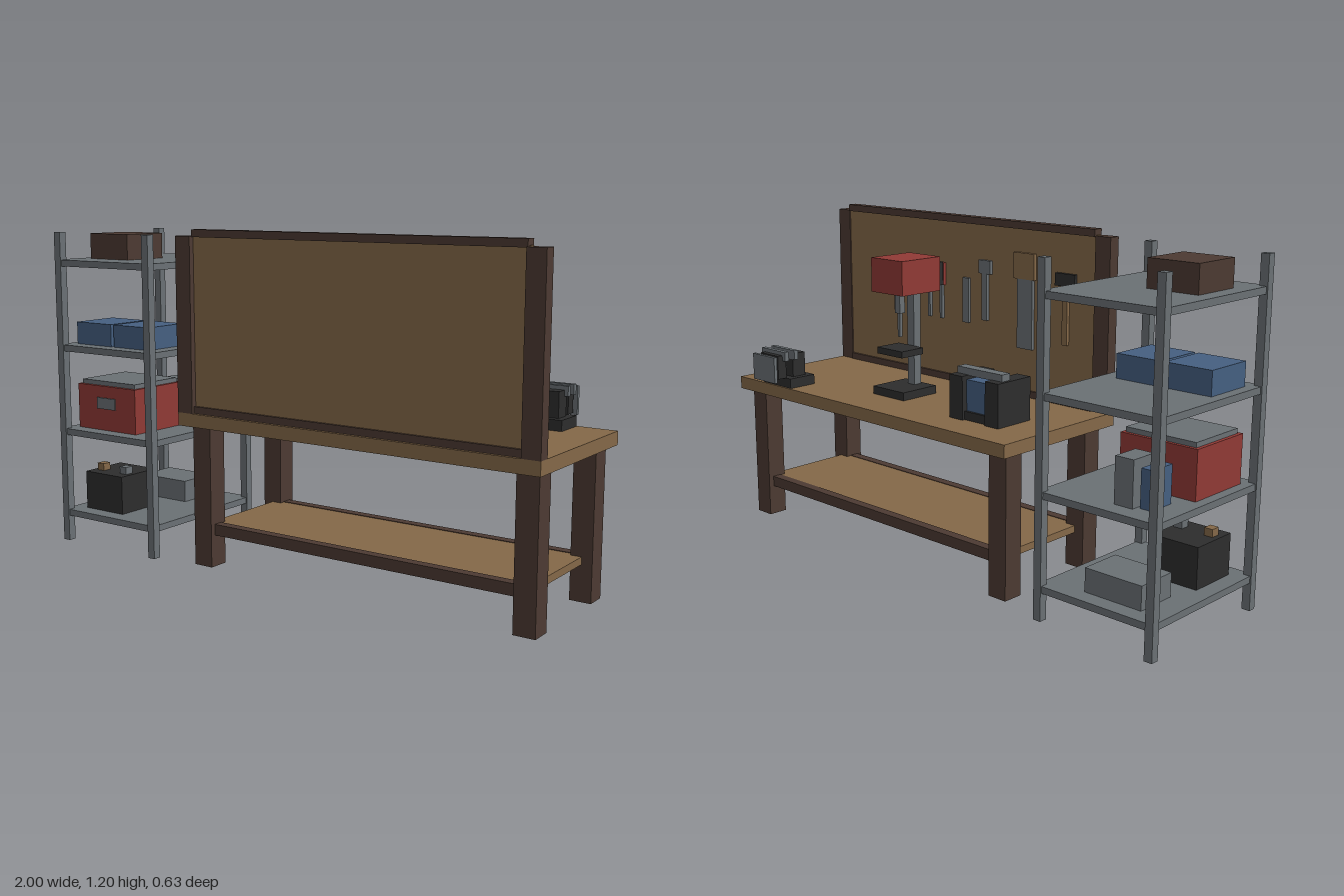
import * as THREE from 'three';

const mat = (name, color) => Object.assign(new THREE.MeshStandardMaterial({ color }), { name });

export function createModel() {
  const wood = mat('tan wood', 0x846848);
  const brown = mat('dark brown wood', 0x4c3a32);
  const steel = mat('grey steel', 0x6a7074);
  const red = mat('red paint', 0x903a35);
  const blue = mat('blue paint', 0x455f80);
  const black = mat('black iron', 0x2d2d2d);

  const model = new THREE.Group();
  const group = (name) => {
    const g = new THREE.Group();
    g.name = name;
    model.add(g);
    return g;
  };
  // Box given by its limits along x, y and z
  const box = (parent, name, material, x0, x1, y0, y1, z0, z1) => {
    const mesh = new THREE.Mesh(new THREE.BoxGeometry(x1 - x0, y1 - y0, z1 - z0), material);
    mesh.position.set((x0 + x1) / 2, (y0 + y1) / 2, (z0 + z1) / 2);
    mesh.name = name;
    parent.add(mesh);
  };

  // Workbench: top, legs, rails and low shelf
  const bench = group('workbench');
  box(bench, 'benchTop', wood, -0.4, 1, 0.513, 0.56, -0.256, 0.315);
  for (const x of [-0.369, 0.901])
    for (const z of [-0.212, 0.196])
      box(bench, 'benchLeg', brown, x, x + 0.077, 0, 0.513, z, z + 0.076);
  for (const z of [-0.173, 0.234])
    box(bench, 'benchRail', brown, -0.3, 0.91, 0.115, 0.155, z - 0.018, z + 0.018);
  box(bench, 'lowShelf', wood, -0.33, 0.94, 0.127, 0.153, -0.156, 0.217);

  // Tool board with its frame
  const board = group('toolBoard');
  box(board, 'boardPanel', wood, -0.34, 0.94, 0.56, 1.18, 0.275, 0.295);
  box(board, 'boardTopRail', brown, -0.335, 0.935, 1.174, 1.2, 0.266, 0.304);
  box(board, 'boardBottomRail', brown, -0.335, 0.935, 0.56, 0.585, 0.266, 0.304);
  for (const x of [-0.4, 0.935])
    box(board, 'boardPost', brown, x, x + 0.065, 0.56, 1.177, 0.271, 0.315);

  // Hanging tools: name, material, x and y limits
  const tools = group('hangingTools');
  [
    ['hammerHead', black, -0.255, -0.165, 0.99, 1.035],
    ['hammerHandle', wood, -0.223, -0.2, 0.78, 0.99],
    ['sawHandle', wood, -0.068, 0.03, 0.995, 1.09],
    ['sawBlade', steel, -0.06, 0.012, 0.74, 0.995],
    ['wrenchHead', steel, 0.146, 0.205, 0.995, 1.045],
    ['wrenchHandle', steel, 0.163, 0.19, 0.82, 0.995],
    ['chisel', steel, 0.257, 0.288, 0.8, 0.97],
    ['redScrewdriverGrip', red, 0.388, 0.42, 0.93, 1.015],
    ['redScrewdriverShaft', steel, 0.398, 0.41, 0.8, 0.93],
    ['blueScrewdriverGrip', blue, 0.452, 0.484, 0.93, 1.0],
    ['blueScrewdriverShaft', steel, 0.462, 0.474, 0.8, 0.93],
    ['pliers', steel, 0.625, 0.665, 0.8, 0.9],
  ].forEach(([name, m, ...lim]) => box(tools, name, m, ...lim, 0.262, 0.276));

  // Planer: two side housings, blue cutter body and top bar
  const planer = group('planer');
  for (const x of [-0.257, -0.091])
    box(planer, 'planerSide', black, x, x + 0.061, 0.56, 0.714, -0.13, 0.032);
  box(planer, 'planerBase', black, -0.2, -0.088, 0.56, 0.59, -0.118, 0.028);
  box(planer, 'planerBody', blue, -0.196, -0.091, 0.59, 0.7, -0.108, 0.015);
  box(planer, 'planerBar', steel, -0.245, -0.037, 0.712, 0.738, -0.098, -0.058);

  // Drill press
  const drill = group('drillPress');
  box(drill, 'drillBase', black, 0.25, 0.413, 0.56, 0.59, -0.085, 0.08);
  box(drill, 'drillColumn', steel, 0.314, 0.349, 0.59, 0.943, 0.032, 0.066);
  box(drill, 'drillTable', black, 0.266, 0.398, 0.714, 0.738, -0.075, 0.032);
  box(drill, 'drillHead', red, 0.25, 0.413, 0.943, 1.068, -0.084, 0.106);
  box(drill, 'drillMotor', black, 0.272, 0.388, 0.957, 1.043, 0.106, 0.144);
  box(drill, 'drillQuill', steel, 0.319, 0.344, 0.866, 0.943, -0.033, -0.008);
  box(drill, 'drillBit', steel, 0.326, 0.338, 0.778, 0.866, -0.027, -0.014);
  box(drill, 'feedHandle', steel, 0.413, 0.463, 0.963, 1.037, -0.028, -0.016);
  box(drill, 'feedKnob', steel, 0.413, 0.467, 0.988, 0.998, 0.011, 0.023);

  // Bench vise
  const vise = group('vise');
  box(vise, 'viseBase', black, 0.695, 0.856, 0.56, 0.597, -0.25, -0.135);
  box(vise, 'fixedJaw', black, 0.718, 0.832, 0.597, 0.686, -0.218, -0.16);
  box(vise, 'movingJaw', black, 0.722, 0.826, 0.597, 0.686, -0.285, -0.247);
  for (const z of [-0.218, -0.263])
    box(vise, 'jawPlate', steel, 0.706, 0.845, 0.665, 0.7, z - 0.001, z + 0.017);
  box(vise, 'viseScrew', steel, 0.759, 0.783, 0.627, 0.65, -0.305, -0.148);
  box(vise, 'viseHandle', steel, 0.706, 0.834, 0.588, 0.687, -0.315, -0.302);

  // Storage rack
  const rack = group('storageRack');
  for (const x of [-1, -0.56])
    for (const z of [-0.256, 0.285])
      box(rack, 'rackPost', steel, x, x + 0.03, 0, 1.177, z, z + 0.03);
  for (const y of [0.121, 0.437, 0.757, 1.075])
    box(rack, 'rackShelf', steel, -0.995, -0.535, y - 0.024, y, -0.251, 0.31);

  // Goods on the rack
  const goods = group('storedGoods');
  box(goods, 'brownCarton', brown, -0.938, -0.749, 1.075, 1.17, 0, 0.189);
  box(goods, 'blueBin', blue, -0.957, -0.781, 0.757, 0.84, 0.065, 0.253);
  box(goods, 'blueBin', blue, -0.767, -0.594, 0.757, 0.84, 0.065, 0.253);
  box(goods, 'redToolbox', red, -0.96, -0.668, 0.437, 0.605, 0, 0.253);
  box(goods, 'toolboxLid', steel, -0.947, -0.679, 0.605, 0.622, 0.012, 0.241);
  box(goods, 'toolboxLatch', steel, -0.858, -0.767, 0.519, 0.561, 0.253, 0.259);
  box(goods, 'greyCan', steel, -0.86, -0.79, 0.437, 0.592, -0.187, -0.085);
  box(goods, 'blueCan', blue, -0.915, -0.872, 0.437, 0.565, -0.165, -0.065);
  box(goods, 'battery', black, -0.936, -0.749, 0.121, 0.265, 0.064, 0.25);
  box(goods, 'tanTerminal', wood, -0.917, -0.885, 0.265, 0.292, 0.172, 0.207);
  box(goods, 'greyTerminal', steel, -0.8, -0.767, 0.265, 0.292, 0.172, 0.207);
  box(goods, 'greyCase', steel, -0.907, -0.687, 0.121, 0.203, -0.19, -0.035);

  return model;
}
